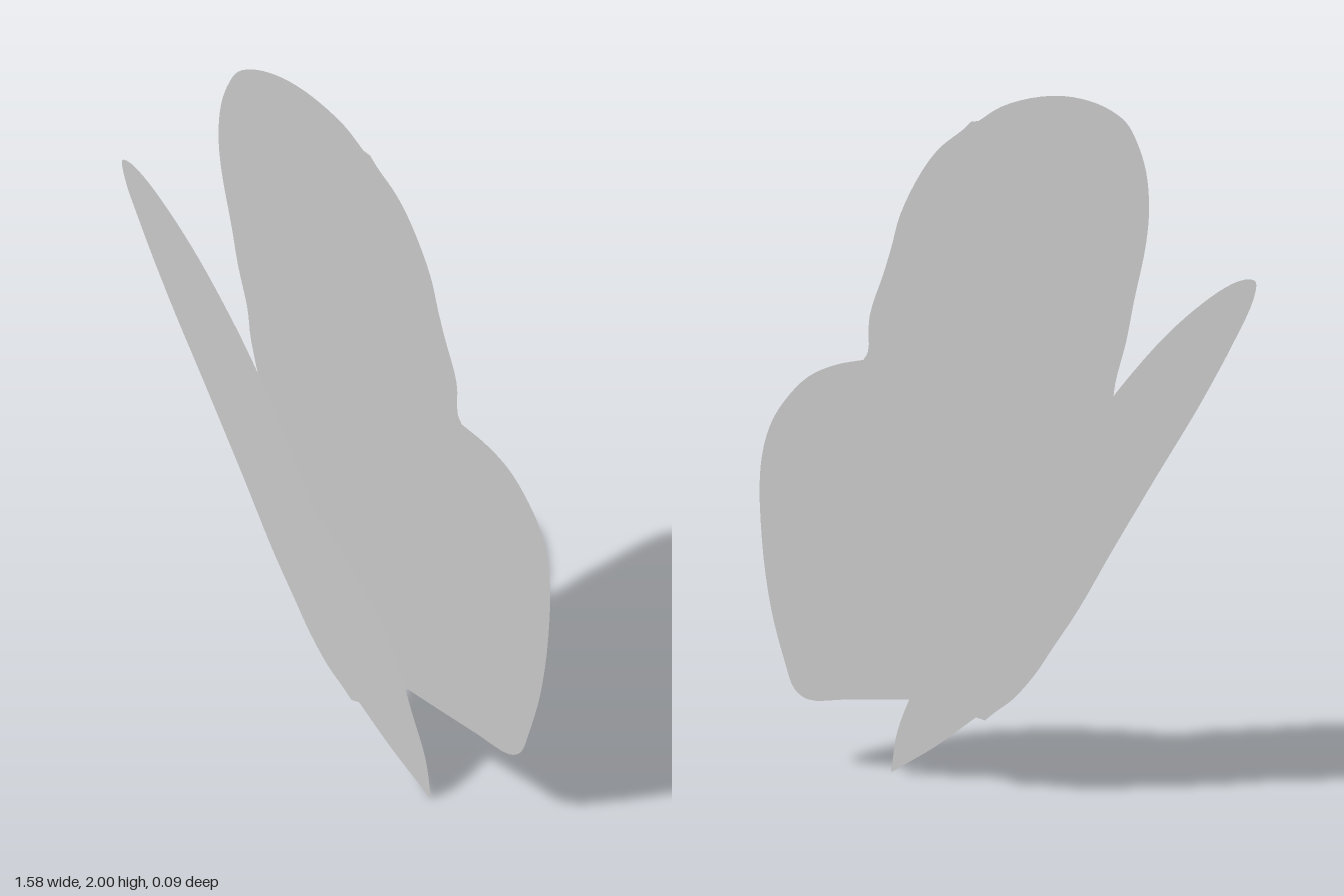
import * as THREE from 'three';

// Each outline is a list of smooth runs [x, y]; runs meet at sharp corners.
const HIND_WING = [
  // left edge and rounded top, up to the small nick
  [[-0.12, 0.42], [-0.2, 0.57], [-0.26, 0.79], [-0.355, 1.11], [-0.37, 1.21], [-0.405, 1.33], [-0.43, 1.445],
    [-0.47, 1.615], [-0.48, 1.72], [-0.47, 1.82], [-0.44, 1.9], [-0.405, 1.95], [-0.335, 1.985], [-0.235, 2],
    [-0.125, 1.988], [0, 1.945], [0.075, 1.895]],
  // right edge down to the notch
  [[0.1, 1.89], [0.125, 1.865], [0.2, 1.805], [0.26, 1.73], [0.33, 1.6], [0.36, 1.5], [0.385, 1.425],
    [0.43, 1.3], [0.435, 1.2], [0.45, 1.175]],
  // lower lobe
  [[0.45, 1.175], [0.54, 1.15], [0.63, 1.105], [0.705, 1.03], [0.755, 0.95], [0.785, 0.83], [0.78, 0.625],
    [0.75, 0.435], [0.705, 0.29], [0.675, 0.22], [0.63, 0.195], [0.505, 0.21], [0.345, 0.23], [0.195, 0.25]],
  // root
  [[0.195, 0.25], [0.135, 0.21], [0.08, 0.235], [0.025, 0.255], [-0.015, 0.265], [-0.06, 0.31], [-0.1, 0.375],
    [-0.12, 0.42]],
];

const FORE_WING = [
  // lower edge from the pointed tip to the root nick
  [[0.415, 0], [0.27, 0.09], [0.135, 0.19]],
  // long left edge and rounded upper tip
  [[0.105, 0.185], [0.075, 0.21], [0.015, 0.255], [-0.055, 0.33], [-0.12, 0.42], [-0.205, 0.54], [-0.31, 0.71],
    [-0.47, 0.96], [-0.6, 1.16], [-0.72, 1.365], [-0.78, 1.485], [-0.788, 1.535], [-0.765, 1.54], [-0.71, 1.52],
    [-0.615, 1.455], [-0.495, 1.35], [-0.37, 1.215], [-0.285, 1.11], [-0.18, 0.96], [-0.055, 0.76],
    [-0.035, 0.73]],
  // curved right edge back to the pointed tip
  [[-0.035, 0.73], [0.06, 0.655], [0.165, 0.545], [0.26, 0.425], [0.345, 0.235], [0.395, 0.115], [0.415, 0]],
];

// Flat sheet from an outline, placed in depth by the rule z = depth(x)
function wing(name, runs, depth, material) {
  const points = [];
  for (const run of runs) {
    const curve = new THREE.CatmullRomCurve3(run.map(([x, y]) => new THREE.Vector3(x, y, 0)), false, 'centripetal');
    for (const p of curve.getPoints((run.length - 1) * 4)) {
      const q = new THREE.Vector2(p.x, p.y);
      if (!points.length || points[points.length - 1].distanceTo(q) > 1e-4) points.push(q);
    }
  }
  if (points[0].distanceTo(points[points.length - 1]) < 1e-4) points.pop();

  const geometry = new THREE.ShapeGeometry(new THREE.Shape(points));
  const position = geometry.attributes.position;
  for (let i = 0; i < position.count; i++) position.setZ(i, depth(position.getX(i)));
  geometry.computeVertexNormals();

  const mesh = new THREE.Mesh(geometry, material);
  mesh.name = name;
  return mesh;
}

export function createModel() {
  const grey = new THREE.MeshStandardMaterial({ color: 0xc8c8c8, side: THREE.DoubleSide });
  grey.name = 'wing light grey';

  const model = new THREE.Group();
  model.name = 'wings';
  model.add(
    wing('foreWing', FORE_WING, () => 0.046, grey),
    // the broad wing leans slightly backwards towards +x
    wing('hindWing', HIND_WING, (x) => -0.03 - 0.02 * x, grey),
  );
  return model;
}
